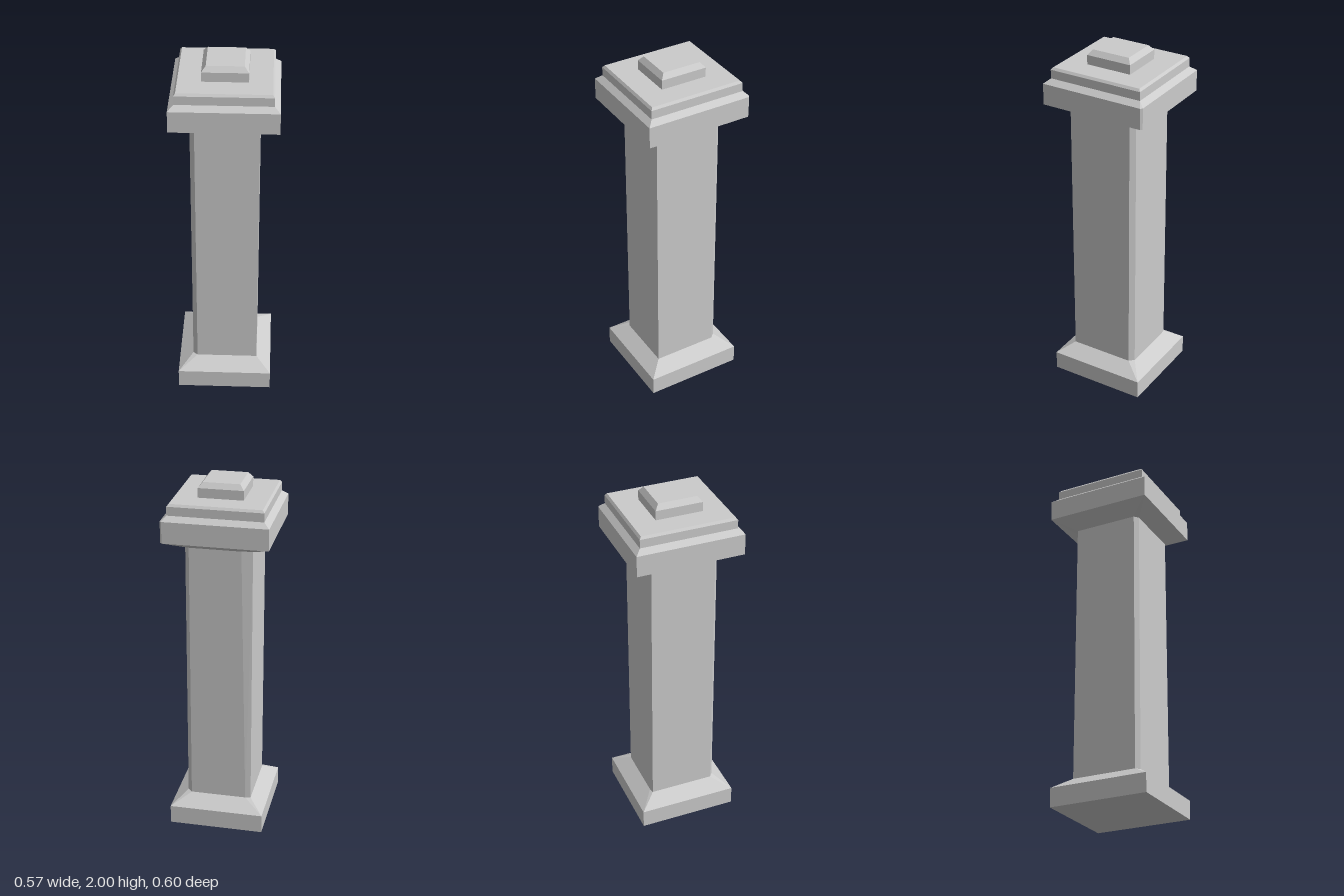
import * as THREE from 'three';

// Rectangular outline at height y; cuts = [x, z] corner chamfers, counter-clockwise from front left
const NONE = [[0, 0], [0, 0], [0, 0], [0, 0]];
function ring(y, x0, x1, z0, z1, cuts = NONE) {
  const [a, b, c, d] = cuts;
  return [
    [x1 - a[0], z1], [x1, z1 - a[1]],
    [x1, z0 + b[1]], [x1 - b[0], z0],
    [x0 + c[0], z0], [x0, z0 + c[1]],
    [x0, z1 - d[1]], [x0 + d[0], z1],
  ].map(([x, z]) => new THREE.Vector3(x, y, z));
}

// Flat-faced solid through a stack of outlines, closed at both ends
function loft(name, rings, material) {
  const pos = [];
  const area = new THREE.Triangle();
  const tri = (a, b, c) => {
    if (area.set(a, b, c).getArea() > 1e-8) for (const p of [a, b, c]) pos.push(p.x, p.y, p.z);
  };
  for (let k = 0; k < rings.length - 1; k++) {
    const lo = rings[k], hi = rings[k + 1];
    for (let i = 0; i < 8; i++) {
      const j = (i + 1) % 8;
      tri(lo[i], lo[j], hi[j]);
      tri(lo[i], hi[j], hi[i]);
    }
  }
  const bottom = rings[0], top = rings[rings.length - 1];
  for (let i = 1; i < 7; i++) {
    tri(bottom[0], bottom[i + 1], bottom[i]);
    tri(top[0], top[i], top[i + 1]);
  }
  const geo = new THREE.BufferGeometry();
  geo.setAttribute('position', new THREE.Float32BufferAttribute(pos, 3));
  geo.computeVertexNormals();
  const mesh = new THREE.Mesh(geo, material);
  mesh.name = name;
  return mesh;
}

export function createModel() {
  const group = new THREE.Group();
  group.name = 'pillar';
  const stone = new THREE.MeshStandardMaterial({ color: 0xcccccc, flatShading: true });

  // Worn shaft corners: the back right one widens towards the top
  const wornLow = [[0, 0], [0.025, 0.026], [0.03, 0.006], [0.025, 0.02]];
  const wornHigh = [[0, 0], [0.025, 0.026], [0.06, 0.01], [0.025, 0.02]];
  const chip = [[0, 0], [0.01, 0.01], [0, 0], [0, 0]];
  const shaft = (y, cuts) => ring(y, -0.184, 0.184, -0.192, 0.198, cuts);

  group.add(
    // Plinth with sloped shoulder
    loft('base', [
      ring(0, -0.265, 0.265, -0.276, 0.281),
      ring(0.106, -0.265, 0.265, -0.276, 0.281),
      shaft(0.166, wornLow),
    ], stone),
    loft('shaft', [shaft(0.166, wornLow), shaft(1.662, wornHigh)], stone),
    // Flared slab under the capital
    loft('capitalSlab', [
      shaft(1.662, wornHigh),
      ring(1.715, -0.288, 0.287, -0.3, 0.298, chip),
      ring(1.833, -0.288, 0.287, -0.3, 0.298, chip),
      ring(1.859, -0.257, 0.256, -0.27, 0.268),
    ], stone),
    loft('capitalTier', [
      ring(1.859, -0.257, 0.256, -0.27, 0.268),
      ring(1.907, -0.257, 0.256, -0.27, 0.268),
      ring(1.92, -0.247, 0.246, -0.26, 0.258),
    ], stone),
    // Small bevelled block on top
    loft('topBlock', [
      ring(1.92, -0.123, 0.122, -0.131, 0.129),
      ring(1.972, -0.123, 0.122, -0.131, 0.129),
      ring(2, -0.1, 0.099, -0.109, 0.107),
    ], stone),
  );
  return group;
}
